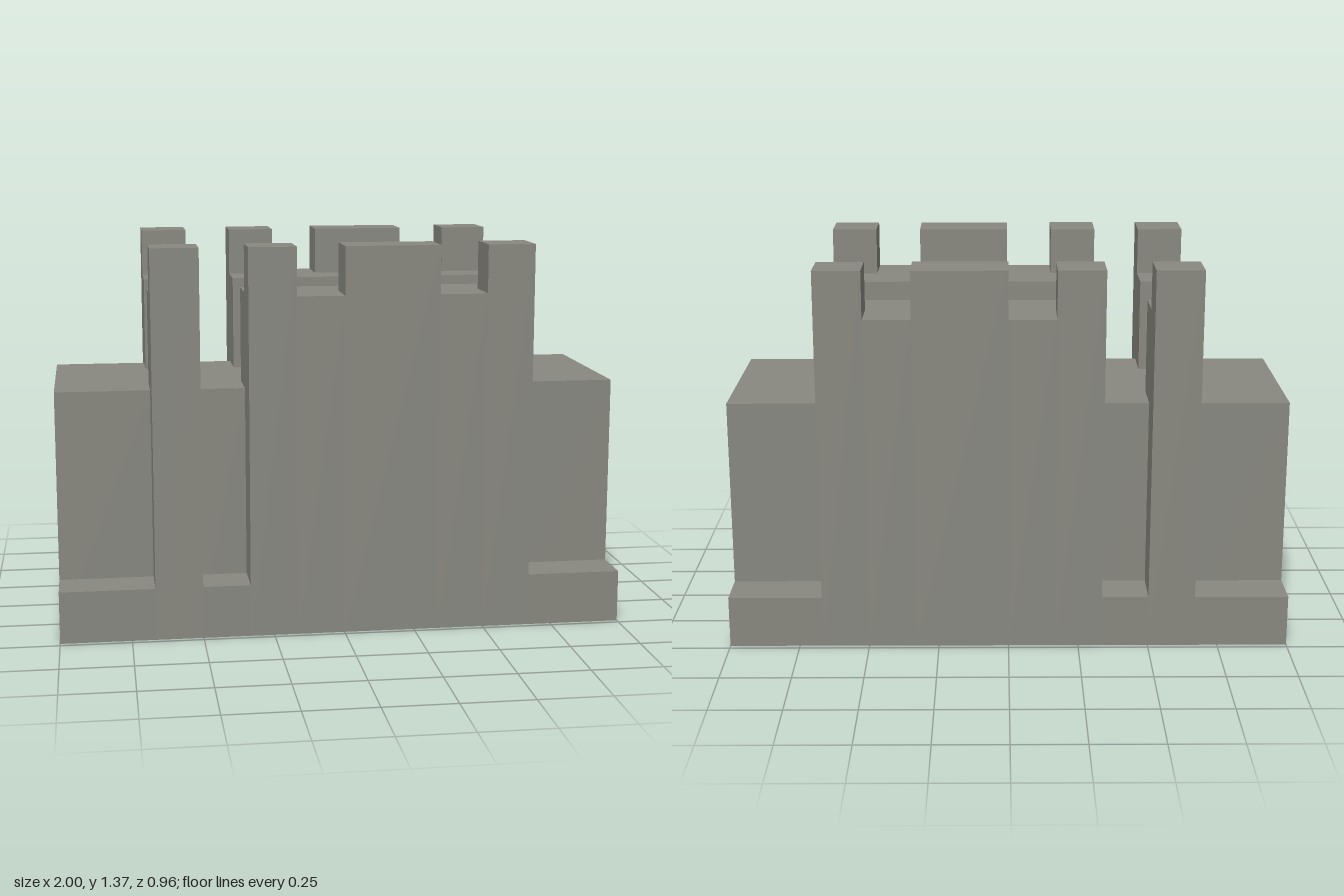
import * as THREE from 'three';
import { mergeGeometries } from 'three/addons/utils/BufferGeometryUtils.js';

// Heights of the levels
const BASE = 0.185, DECK = 0.86, WALK = 1.2, TOP = 1.37;

// Plan grid: 12 cells along x, 6 cells along z (row 6 is the front edge)
const gridX = i => i / 6 - 1;
const gridZ = j => j * 0.16 - 0.48;
const rect = (i0, i1, j0, j1) => [[i0, j0], [i1, j0], [i1, j1], [i0, j1]];

// Upright prism over a plan outline, with walls and a top but open underneath
function openPrism(outline, height) {
  let pts = outline.map(([i, j]) => new THREE.Vector2(gridX(i), -gridZ(j)));
  if (THREE.ShapeUtils.area(pts) < 0) pts = pts.reverse();
  const parts = [
    new THREE.ShapeGeometry(new THREE.Shape(pts)).rotateX(-Math.PI / 2).translate(0, height, 0),
  ];
  pts.forEach((a, k) => {
    const b = pts[(k + 1) % pts.length];
    const wall = new THREE.PlaneGeometry(a.distanceTo(b), height);
    wall.rotateY(Math.atan2(b.y - a.y, b.x - a.x));
    wall.translate((a.x + b.x) / 2, height / 2, -(a.y + b.y) / 2);
    parts.push(wall);
  });
  return mergeGeometries(parts);
}

export function createModel() {
  const model = new THREE.Group();
  model.name = 'castleWall';
  const stone = new THREE.MeshStandardMaterial({ color: 0x888880, side: THREE.DoubleSide });
  stone.name = 'stone grey';

  const add = (parent, name, outline, height) => {
    const mesh = new THREE.Mesh(openPrism(outline, height), stone);
    mesh.name = name;
    parent.add(mesh);
  };

  // Central deck, notched where the parapets and posts stand
  const frontEdge = [[0, 5], [2, 5], [2, 4], [3, 4], [3, 5], [4, 5], [4, 4], [10, 4], [10, 5], [12, 5]];
  const backEdge = frontEdge.map(([i, j]) => [i, 6 - j]).reverse();
  add(model, 'deck', [...frontEdge, ...backEdge], DECK);

  // Front and back curtain walls, mirrored across z
  for (const side of ['front', 'back']) {
    const wall = new THREE.Group();
    wall.name = side + 'Wall';
    model.add(wall);
    const place = (name, outline, height) =>
      add(wall, side + name, side === 'front' ? outline : outline.map(([i, j]) => [i, 6 - j]), height);

    // Low plinth strips along the edge
    for (const [a, b] of [[0, 2], [3, 4], [10, 12]]) place('Plinth', rect(a, b, 5, 6), BASE);

    // Parapet walk with its crenel gaps
    place('Parapet', [[4, 4], [10, 4], [10, 5], [9, 5], [9, 6], [8, 6], [8, 5],
      [6, 5], [6, 6], [5, 6], [5, 5], [4, 5]], WALK);

    // Merlons
    for (const [a, b] of [[4, 5], [6, 8], [9, 10]]) place('Merlon', rect(a, b, 5, 6), TOP);

    // Separate stepped post
    place('PostStep', rect(2, 3, 4, 5), WALK);
    place('Post', rect(2, 3, 5, 6), TOP);
  }
  return model;
}
